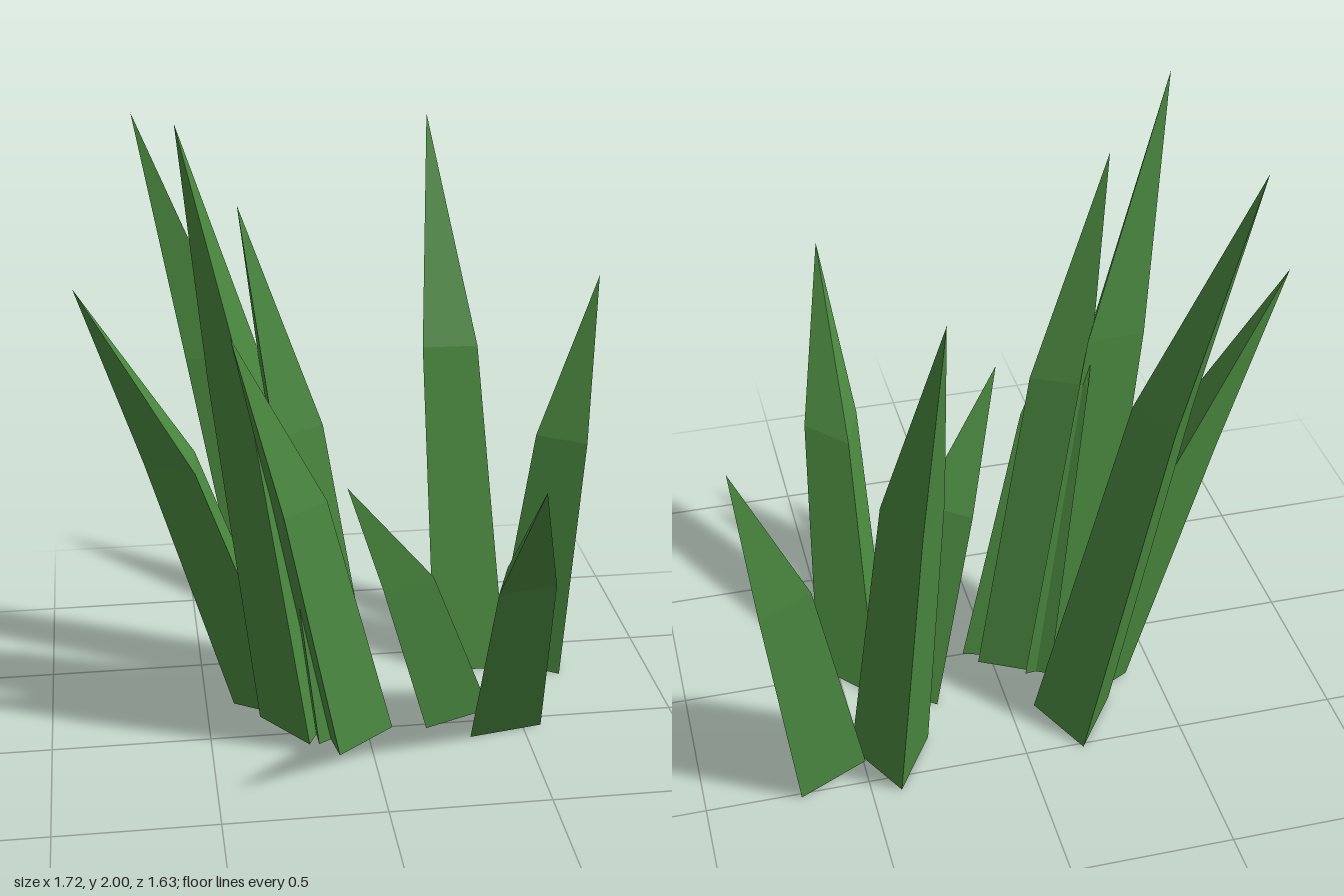
import * as THREE from 'three';

const BASE_RADIUS = 0.14;

// Each blade: base centre x, z; turn of the triangular section in degrees; tip x, y, z
const BLADES = [
  [-0.27, -0.212, -93, -0.86, 1.45, -0.2],
  [-0.193, -0.376, -65.5, -0.66, 1.92, -0.46],
  [-0.205, -0.063, 125.5, -0.55, 2.0, 0.055],
  [-0.096, -0.045, 92, -0.38, 1.76, 0.06],
  [-0.055, 0.025, -21, -0.42, 1.42, 0.225],
  [0.275, -0.087, -37, -0.09, 0.95, 0.25],
  [0.427, 0.007, 71, 0.375, 1.15, 0.815],
  [0.405, -0.418, 58, 0.31, 1.81, -0.82],
  [0.633, -0.4, 26, 0.86, 1.3, -0.6],
];

// Three-sided spike with a bend: the middle ring sits at 60% height, half the lean, 75% width
function bladeGeometry(x, z, turn, tipX, tipY, tipZ) {
  const geometry = new THREE.CylinderGeometry(
    0, BASE_RADIUS, 1, 3, 2, false, THREE.MathUtils.degToRad(turn));
  const p = geometry.attributes.position;
  for (let i = 0; i < p.count; i++) {
    const level = Math.round((p.getY(i) + 0.5) * 2); // 0 base, 1 bend, 2 tip
    const widen = level === 1 ? 1.5 : 1;
    const lean = level / 2;
    p.setXYZ(i,
      x + (tipX - x) * lean + p.getX(i) * widen,
      tipY * [0, 0.6, 1][level],
      z + (tipZ - z) * lean + p.getZ(i) * widen);
  }
  const flat = geometry.toNonIndexed();
  flat.computeVertexNormals();
  return flat;
}

export function createModel() {
  const group = new THREE.Group();
  group.name = 'grassTuft';
  const green = new THREE.MeshStandardMaterial({ color: 0x4b8a40 });
  green.name = 'grassGreen';
  green.flatShading = true;

  BLADES.forEach((blade, i) => {
    const mesh = new THREE.Mesh(bladeGeometry(...blade), green);
    mesh.name = `grassBlade${i + 1}`;
    group.add(mesh);
  });
  return group;
}
